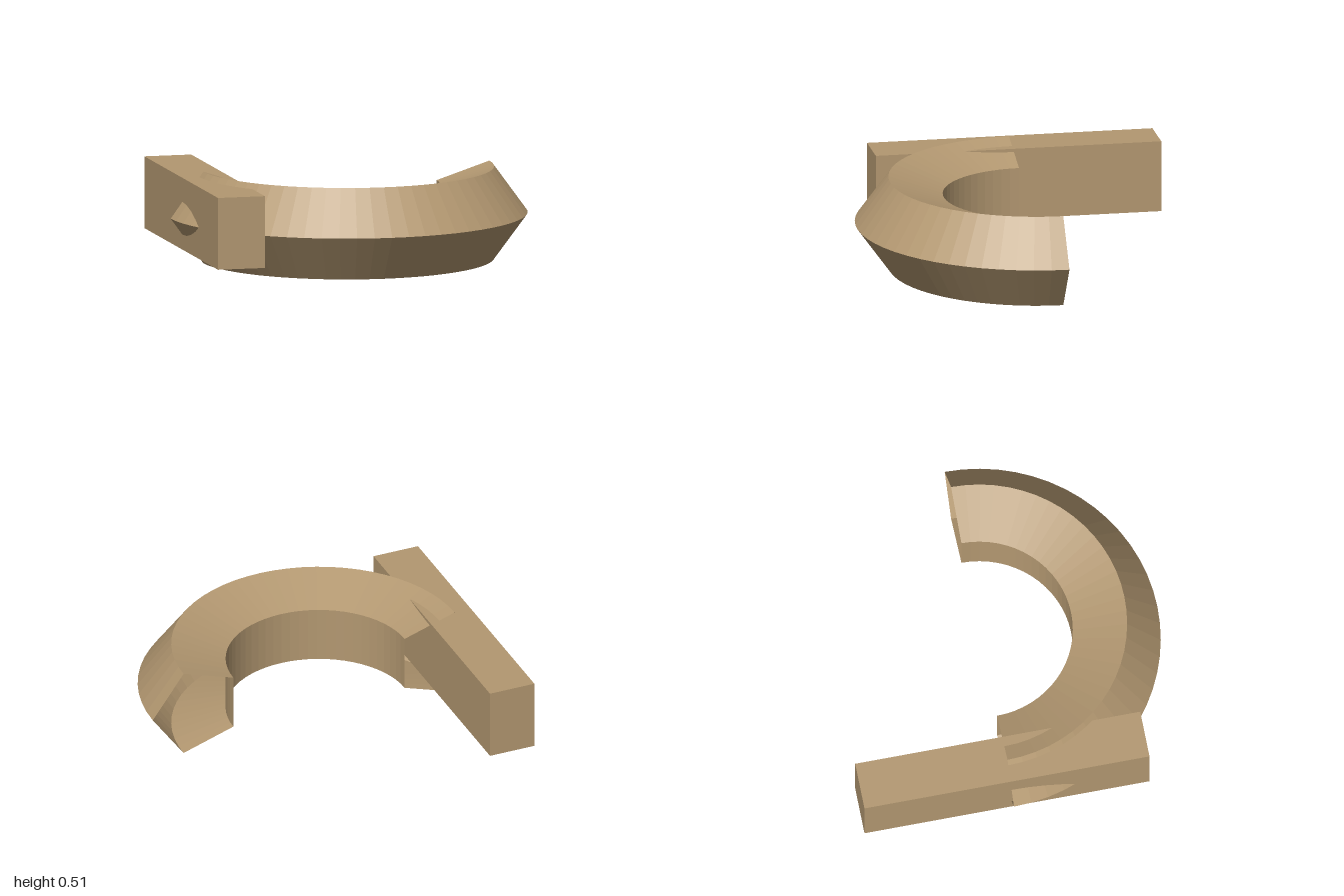
import * as THREE from 'three';

export function createModel() {
  const model = new THREE.Group();
  const material = new THREE.MeshStandardMaterial({
    color: 0xb39871, flatShading: true, side: THREE.DoubleSide,
  });

  // Half ring: hollow tube of pentagonal section, open at both ends
  const tubeRadius = 0.268;
  const ringGeometry = new THREE.TorusGeometry(1 - tubeRadius, tubeRadius, 5, 32, Math.PI);
  ringGeometry.rotateX(Math.PI / 2);
  const halfRing = new THREE.Mesh(ringGeometry, material);
  halfRing.name = 'halfRing';
  halfRing.position.set(0, 0.255, -0.087);
  model.add(halfRing);

  // Straight bar running front to back through the right end of the ring
  const bar = new THREE.Mesh(new THREE.BoxGeometry(0.267, 0.4, 1.6), material);
  bar.name = 'bar';
  bar.position.set(-0.8, 0.28, -0.113);
  model.add(bar);

  return model;
}
